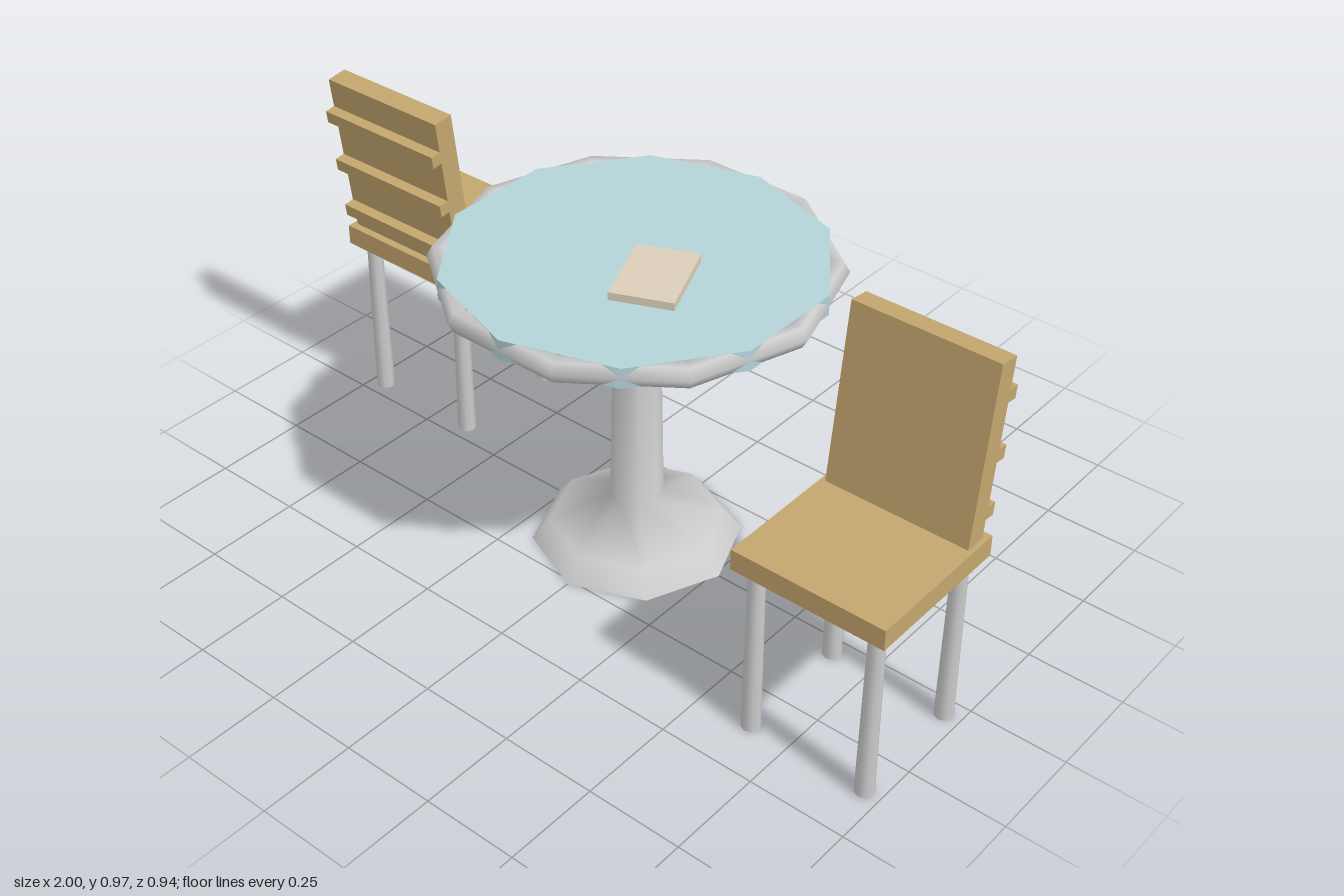
import * as THREE from 'three';

const metal = new THREE.MeshStandardMaterial({ color: 0xcccccc });
const wood = new THREE.MeshStandardMaterial({ color: 0xc4a66e });
const glass = new THREE.MeshStandardMaterial({ color: 0xb4d4d8 });
const paper = new THREE.MeshStandardMaterial({ color: 0xdccfb9 });

function add(parent, name, geometry, material, x = 0, y = 0, z = 0) {
  const mesh = new THREE.Mesh(geometry, material);
  mesh.name = name;
  mesh.position.set(x, y, z);
  parent.add(mesh);
  return mesh;
}

function createTable() {
  const table = new THREE.Group();
  table.name = 'table';

  // Flared eight-sided pedestal, closed at both ends
  const profile = [[0.265, 0], [0.22, 0.057], [0.067, 0.135], [0.055, 0.757]]
    .map(([r, y]) => new THREE.Vector2(r, y));
  add(table, 'pedestal', new THREE.LatheGeometry(profile, 8), metal);
  add(table, 'pedestalBottom', new THREE.CircleGeometry(0.265, 8).rotateX(Math.PI / 2), metal);
  add(table, 'pedestalTop', new THREE.CircleGeometry(0.055, 8).rotateX(-Math.PI / 2), metal, 0, 0.757);

  // Ten-sided top; its corners meet the middles of the rim's sides
  add(table, 'tableTop', new THREE.CylinderGeometry(0.468, 0.468, 0.053, 10), glass, 0, 0.8015);
  add(table, 'tableRim', new THREE.TorusGeometry(0.463, 0.03, 6, 10).rotateX(Math.PI / 2), metal, 0, 0.8015);
  return table;
}

// Chair facing +z, with the rear edge of its seat on z = 0
function createChair() {
  const chair = new THREE.Group();
  chair.name = 'chair';
  add(chair, 'seat', new THREE.BoxGeometry(0.4, 0.054, 0.4), wood, 0, 0.49, 0.2);

  const legGeometry = new THREE.CylinderGeometry(0.02, 0.024, 0.465, 8);
  for (const x of [-0.157, 0.157])
    for (const z of [0.047, 0.36]) add(chair, 'leg', legGeometry, metal, x, 0.2325, z);

  // Leaning backrest with three slats across its rear
  const backrest = new THREE.Group();
  backrest.name = 'backrest';
  backrest.position.set(0, 0.514, 0.0495);
  backrest.rotation.x = -0.121;
  add(backrest, 'backPanel', new THREE.BoxGeometry(0.375, 0.456, 0.055), wood, 0, 0.228, 0);
  for (const y of [0.07, 0.214, 0.36])
    add(backrest, 'backSlat', new THREE.BoxGeometry(0.375, 0.033, 0.03), wood, 0, y, -0.041);
  chair.add(backrest);
  return chair;
}

export function createModel() {
  const model = new THREE.Group();
  model.name = 'tableAndChairs';
  model.add(createTable());

  // Folder lying on the table
  const folder = add(model, 'folder', new THREE.BoxGeometry(0.155, 0.02, 0.216), paper, 0.112, 0.844, 0.069);
  folder.rotation.y = 0.4;

  // Two chairs on opposite sides, facing opposite ways
  for (const side of [1, -1]) {
    const chair = createChair();
    chair.position.x = side * 0.8;
    chair.rotation.y = side > 0 ? 0 : Math.PI;
    model.add(chair);
  }
  return model;
}
